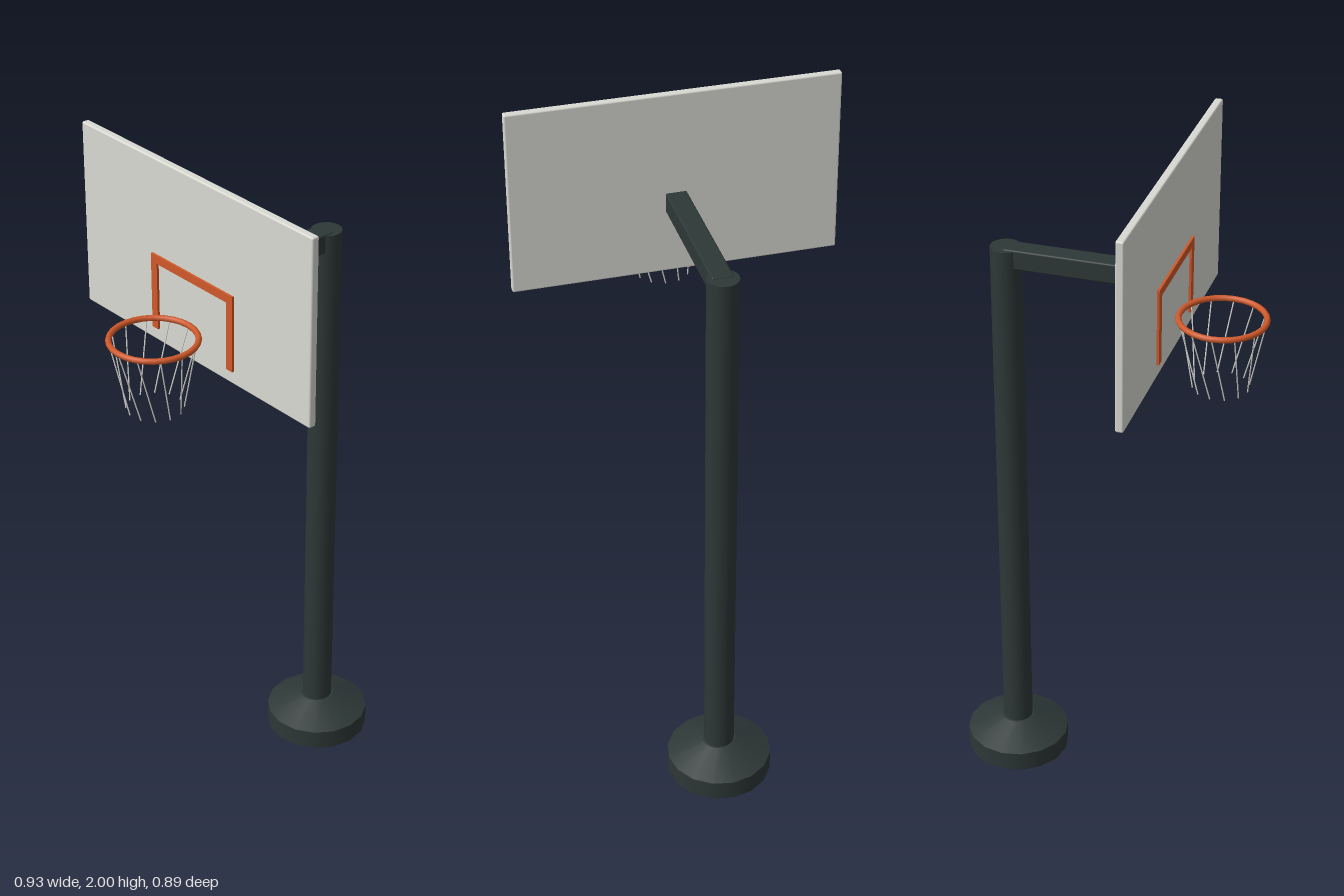
import * as THREE from 'three';
import { RoundedBoxGeometry } from 'three/addons/geometries/RoundedBoxGeometry.js';

const material = (name, color) => {
  const m = new THREE.MeshStandardMaterial({ color });
  m.name = name;
  return m;
};

export function createModel() {
  const steel = material('dark steel', 0x2d3837);
  const white = material('board grey', 0xdadad4);
  const orange = material('rim orange', 0xd0592a);
  const cord = material('net cord', 0xdcdcd6);

  const model = new THREE.Group();
  model.name = 'basketballHoop';
  const add = (name, geometry, mat, x, y, z, parent = model) => {
    const mesh = new THREE.Mesh(geometry, mat);
    mesh.name = name;
    mesh.position.set(x, y, z);
    parent.add(mesh);
    return mesh;
  };

  // Weighted foot, post and arm
  const poleZ = -0.293;
  add('base', new THREE.CylinderGeometry(0.153, 0.153, 0.06, 16), steel, 0, 0.03, poleZ);
  add('baseCone', new THREE.CylinderGeometry(0.05, 0.153, 0.045, 16), steel, 0, 0.0825, poleZ);
  add('pole', new THREE.CylinderGeometry(0.044, 0.044, 1.62, 20), steel, 0, 0.89, poleZ);
  add('arm', new RoundedBoxGeometry(0.06, 0.058, 0.456, 2, 0.005), steel, 0, 1.675, -0.065);

  // Backboard with its target frame
  add('backboard', new RoundedBoxGeometry(0.928, 0.54, 0.023, 2, 0.005), white, 0, 1.73, 0.1715);
  const frame = new THREE.Group();
  frame.name = 'targetFrame';
  model.add(frame);
  add('frameTop', new THREE.BoxGeometry(0.334, 0.024, 0.007), orange, 0, 1.71, 0.1863, frame);
  for (const side of [-1, 1]) {
    add('frameSide', new THREE.BoxGeometry(0.024, 0.2, 0.007), orange, side * 0.155, 1.6, 0.1863, frame);
  }

  // Rim
  const rimR = 0.119, rimY = 1.575, rimZ = 0.318;
  const rim = add('rim', new THREE.TorusGeometry(rimR, 0.0085, 8, 28), orange, 0, rimY, rimZ);
  rim.rotation.x = Math.PI / 2;

  // Net: twelve straight cords, each twisted around the ring as it drops
  const net = new THREE.Group();
  net.name = 'net';
  net.position.set(0, rimY, rimZ);
  model.add(net);
  const ringPoint = (r, a, y) => new THREE.Vector3(-r * Math.sin(a), y, -r * Math.cos(a));
  for (let i = 0; i < 12; i++) {
    const a = (i / 12) * Math.PI * 2;
    const path = new THREE.LineCurve3(ringPoint(rimR, a, 0), ringPoint(0.078, a + 0.39, -0.207));
    add('netCord', new THREE.TubeGeometry(path, 1, 0.002, 5), cord, 0, 0, 0, net);
  }

  return model;
}
